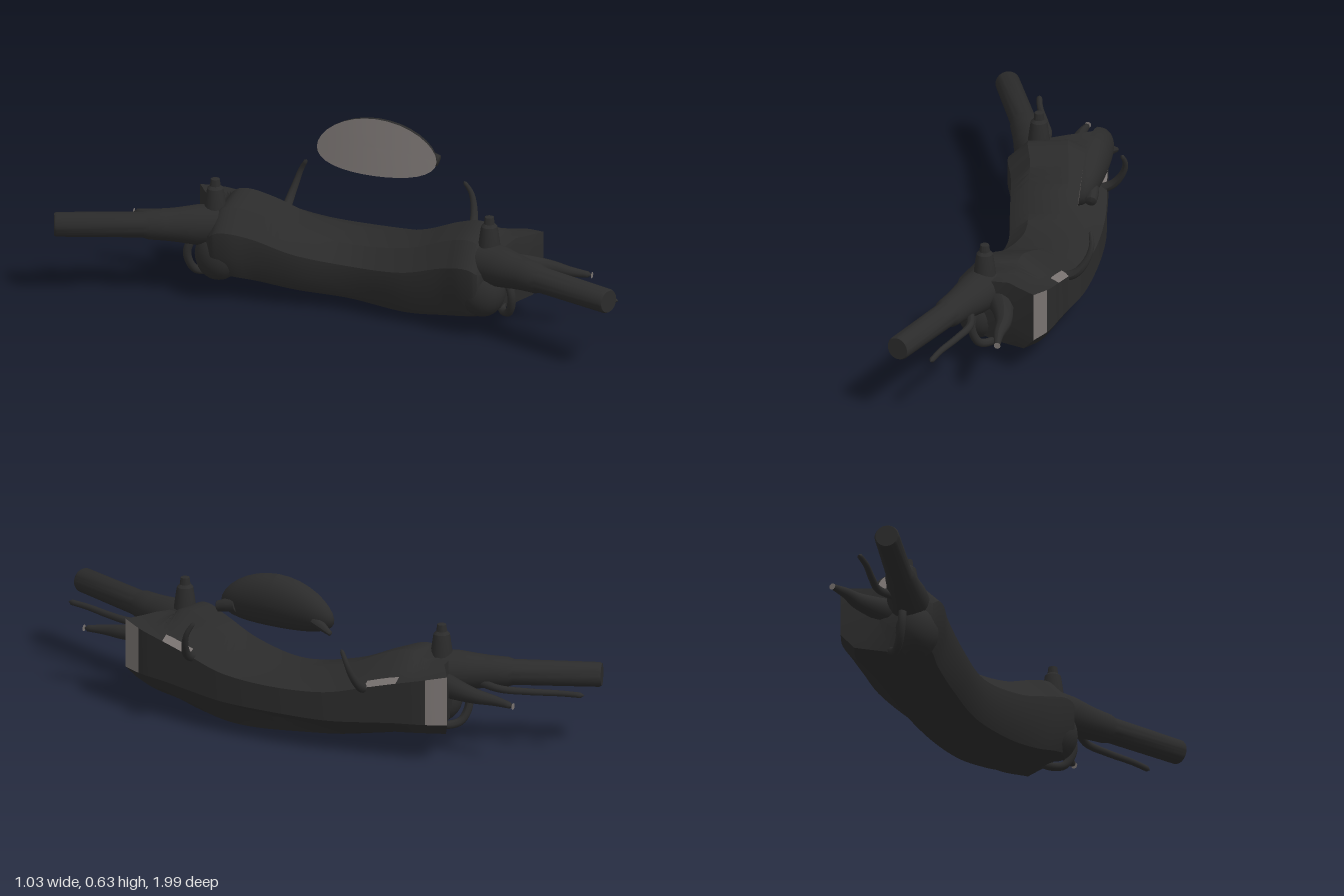
import * as THREE from 'three';
import { toCreasedNormals } from 'three/addons/utils/BufferGeometryUtils.js';

const V = (x, y, z) => new THREE.Vector3(x, y, z);

export function createModel() {
  const black = new THREE.MeshStandardMaterial({ color: 0x2b2b2b });
  black.name = 'black plastic';
  const grey = new THREE.MeshStandardMaterial({ color: 0x787270, side: THREE.DoubleSide });
  grey.name = 'grey inner face';

  const model = new THREE.Group();
  model.name = 'handlebarAssembly';
  // Local frame: +x forward, z along the bar; the whole bar is steered to one side
  const bar = new THREE.Group();
  bar.name = 'steeredBar';
  bar.rotation.y = 0.347;
  bar.position.set(-0.13, 0, 0.02);
  model.add(bar);

  const add = (name, geometry, material = black) => {
    const mesh = new THREE.Mesh(geometry, material);
    mesh.name = name;
    bar.add(mesh);
    return mesh;
  };

  // Cowl stations: u, rear, front | top, bottom, upper lip | lower lip
  const half = [
    [0, 0.2, 0.525, 0.265, 0.025, 0.225, 0.13],
    [0.2, 0.17, 0.515, 0.295, 0.025, 0.235, 0.13],
    [0.35, 0.145, 0.49, 0.355, 0.042, 0.27, 0.14],
    [0.45, 0.115, 0.475, 0.38, 0.06, 0.295, 0.15],
    [0.56, 0.12, 0.455, 0.345, 0.08, 0.32, 0.155],
    [0.645, 0.16, 0.415, 0.34, 0.09, 0.335, 0.155],
  ];
  const stations = [...half.slice(1).reverse().map(([u, ...r]) => [-u, ...r]), ...half];
  const curveOf = (a, b, c) => new THREE.CatmullRomCurve3(
    stations.map((s) => V(s[a], s[b], s[c])), false, 'catmullrom', 0.5);
  const curves = [curveOf(0, 1, 2), curveOf(3, 4, 5), curveOf(6, 0, 0)];

  // One cross-section of the cowl; behind the front corners the ends step back toward the grips
  function section(t) {
    const [{ x: u, y: rear, z: front }, { x: top, y: low, z: lipTop }, { x: lipLow }] =
      curves.map((c) => c.getPoint(t));
    const reach = Math.abs(u) / 0.645;
    const bot = low - 0.11 * u * (1 - reach); // the skirt hangs lower on the left
    const w = front - rear, h = top - bot;
    const slant = THREE.MathUtils.smoothstep(Math.abs(u), 0.45, 0.645) * Math.sign(u);
    return [
      [rear, bot + 0.7 * h], [rear, bot + 0.4 * h], [rear + 0.12 * w, bot + 0.12 * h],
      [rear + 0.4 * w, bot], [rear + 0.75 * w, bot + 0.05 * h],
      [front - 0.06 + 0.02 * reach, THREE.MathUtils.lerp(bot, lipLow, 0.65 - 0.4 * reach)],
      [front, lipLow], [front, lipTop],
      [front - 0.03, lipTop + 0.2 * (top - lipTop)], [front - 0.06, lipTop + 0.38 * (top - lipTop)],
      [rear + 0.6 * w, top], [rear + 0.2 * w, top - 0.06 * h],
    ].map(([f, y]) => V(f, y, u - slant * Math.min(0.65 * (front - f), 0.095)));
  }
  const N = 60;
  const rings = Array.from({ length: N + 1 }, (_, i) => section(i / N));
  const K = rings[0].length;

  // Collects the cowl faces chosen by a test on (strip, station)
  function cowlFaces(test, caps) {
    const pos = [];
    const tri = (...p) => p.forEach((v) => pos.push(v.x, v.y, v.z));
    for (let i = 0; i < N; i++) for (let j = 0; j < K; j++) {
      if (!test(j, i)) continue;
      const k = (j + 1) % K;
      const [a, b, c, d] = [rings[i][j], rings[i][k], rings[i + 1][k], rings[i + 1][j]];
      tri(a, b, c);
      tri(a, c, d);
    }
    if (caps) for (const [ring, flip] of [[rings[0], true], [rings[N], false]]) {
      const mid = ring.reduce((m, p) => m.add(p), V(0, 0, 0)).divideScalar(K);
      ring.forEach((p, j) => {
        const q = ring[(j + 1) % K];
        if (flip) tri(mid, q, p); else tri(mid, p, q);
      });
    }
    const g = new THREE.BufferGeometry();
    g.setAttribute('position', new THREE.Float32BufferAttribute(pos, 3));
    return toCreasedNormals(g, 0.6);
  }
  const edge = (i) => Math.min(i, N - 1 - i);
  const isEnd = (j, i) => j === 6 && edge(i) < 5;
  const isSlot = (j, i) => j === 7 && edge(i) >= 11 && edge(i) < 18;
  add('cowl', cowlFaces((j, i) => !isEnd(j, i) && !isSlot(j, i), true));
  add('indicatorFaces', cowlFaces(isEnd), grey);
  add('upperSlots', cowlFaces(isSlot), grey);

  // Tube along points, its radius running from r0 to r1, both ends closed
  function taperTube(points, r0, r1) {
    const curve = new THREE.CatmullRomCurve3(points.map((p) => V(...p)));
    const seg = 28, sides = 10;
    const g = new THREE.TubeGeometry(curve, seg, 1, sides);
    const p = g.attributes.position, v = V(0, 0, 0);
    for (let i = 0; i <= seg; i++) {
      const c = curve.getPointAt(i / seg);
      const r = i === 0 || i === seg ? 0.0005 : THREE.MathUtils.lerp(r0, r1, i / seg);
      for (let k = 0; k <= sides; k++) {
        const n = i * (sides + 1) + k;
        v.fromBufferAttribute(p, n).sub(c).multiplyScalar(r).add(c);
        p.setXYZ(n, v.x, v.y, v.z);
      }
    }
    g.computeVertexNormals();
    return g;
  }

  const lathe = (profile, sides) => toCreasedNormals(
    new THREE.LatheGeometry(profile.map(([r, y]) => new THREE.Vector2(r, y)), sides), 0.6);

  for (const s of [1, -1]) {
    const side = s > 0 ? 'left' : 'right';
    const m = (pts) => pts.map(([f, y, u]) => [f, y, u * s]);

    // Grip with its flared neck, angled backward
    const inner = V(0.215, 0.277, 0.5 * s), outer = V(0.002, 0.284, 1.04 * s);
    const grip = add(side + 'Grip', lathe([[0, 0], [0.075, 0], [0.072, 0.08], [0.063, 0.14],
      [0.057, 0.19], [0.053, 0.25], [0.046, 0.27], [0.044, 0.575], [0.04, 0.583], [0, 0.583]], 28));
    grip.position.copy(inner);
    grip.quaternion.setFromUnitVectors(V(0, 1, 0), outer.clone().sub(inner).normalize());

    // Switch housing bulging behind the cowl
    const housing = add(side + 'SwitchHousing', new THREE.SphereGeometry(1, 20, 14));
    housing.scale.set(0.08, 0.095, 0.085);
    housing.position.set(0.195, 0.175, 0.495 * s);

    // Mirror mount post
    const post = add(side + 'MirrorPost', lathe([[0.045, 0], [0.04, 0.07], [0.033, 0.12],
      [0.029, 0.145], [0.019, 0.155], [0.016, 0.18], [0, 0.184]], 16));
    post.position.set(0.215, 0.27, 0.515 * s);

    // Brake lever, short front lever with a grey tip, and cable loop
    add(side + 'BrakeLever', taperTube(m([[0.185, 0.25, 0.64], [0.205, 0.243, 0.74],
      [0.176, 0.24, 0.84], [0.137, 0.24, 0.95], [0.118, 0.24, 1.035]]), 0.015, 0.01));
    add(side + 'FrontLever', taperTube(m([[0.25, 0.25, 0.5], [0.295, 0.25, 0.6],
      [0.318, 0.245, 0.7], [0.316, 0.24, 0.78], [0.325, 0.235, 0.86]]), 0.052, 0.01));
    const tip = add(side + 'LeverTip', new THREE.CircleGeometry(0.012, 12), grey);
    tip.position.set(0.325, 0.235, 0.861 * s);
    add(side + 'CableLoop', taperTube(m([[0.2, 0.25, 0.58], [0.185, 0.17, 0.61],
      [0.21, 0.1, 0.59], [0.25, 0.09, 0.55], [0.29, 0.12, 0.54], [0.3, 0.19, 0.53]]), 0.015, 0.015));

    // Curved visor bracket
    add(side + 'VisorBracket', taperTube(m([[0.44, 0.25, 0.34], [0.51, 0.28, 0.345],
      [0.548, 0.33, 0.335], [0.562, 0.38, 0.32], [0.553, 0.425, 0.295]]), 0.02, 0.007));
  }

  // Visor: half-ellipsoid shell with drooping ends, leaning back, closed by a grey face
  function bendVisor(g) {
    const p = g.attributes.position;
    for (let i = 0; i < p.count; i++) {
      const depth = p.getX(i), up = p.getY(i), along = p.getZ(i);
      const y = up * 0.103 - 0.03 * along * along;
      p.setXYZ(i, 0.481 + depth * 0.083 + y * 0.13 + 0.02 * along * along, 0.537 + y, along * 0.225 - 0.012);
    }
    g.computeVertexNormals();
    return g;
  }
  const shell = new THREE.SphereGeometry(1, 32, 16, 0, Math.PI * 2, 0, Math.PI / 2).rotateZ(-Math.PI / 2);
  add('visorShell', bendVisor(shell));
  const face = new THREE.RingGeometry(0, 1, 32, 6).rotateY(-Math.PI / 2);
  add('visorInnerFace', bendVisor(face), grey);
  add('visorTabLeft', taperTube([[0.528, 0.512, 0.14], [0.535, 0.505, 0.175], [0.538, 0.495, 0.21]], 0.028, 0.02));
  add('visorTabRight', taperTube([[0.525, 0.505, -0.17], [0.535, 0.488, -0.21], [0.545, 0.47, -0.25]], 0.024, 0.008));
  return model;
}
